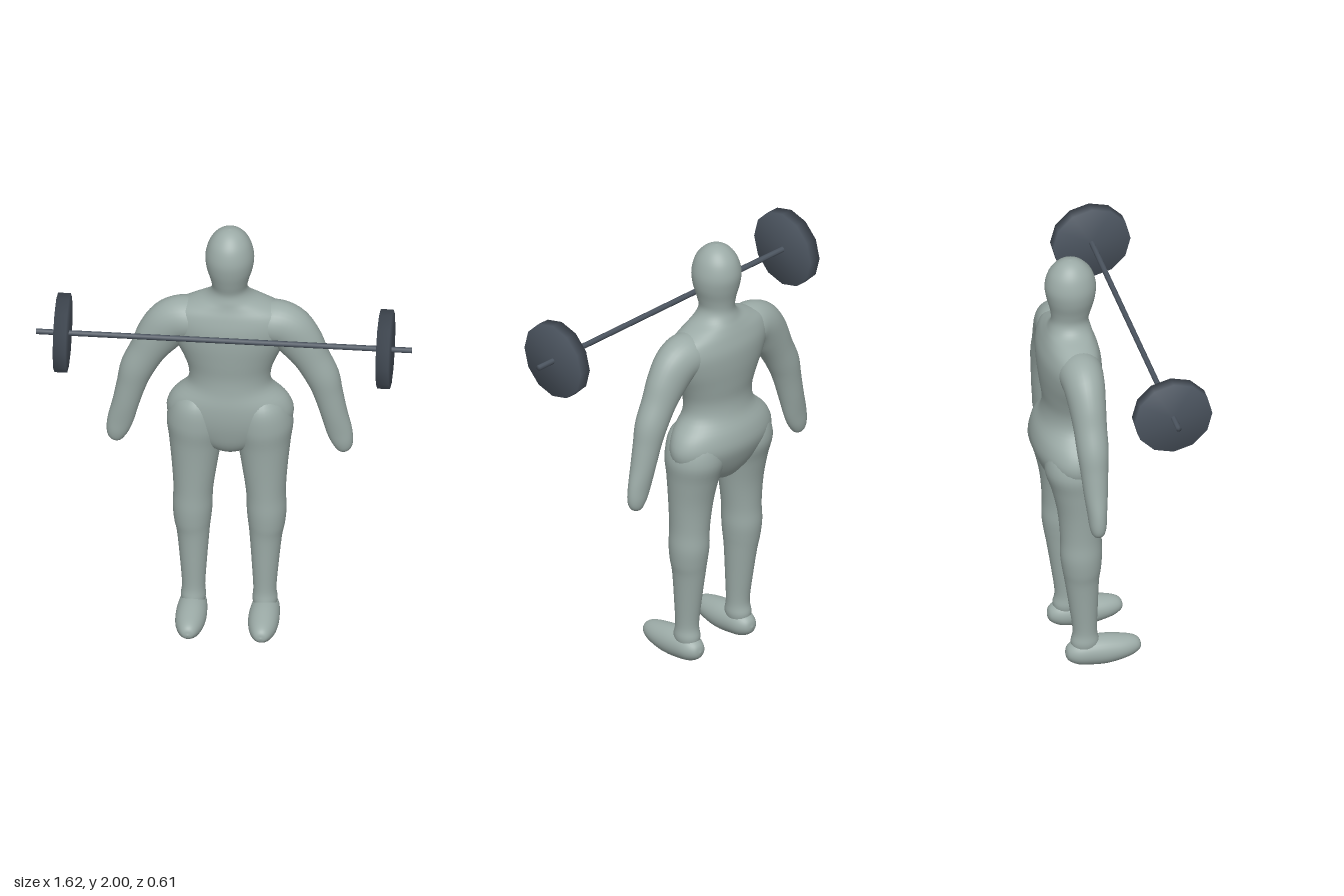
import * as THREE from 'three';
import { mergeVertices } from 'three/addons/utils/BufferGeometryUtils.js';

const X = new THREE.Vector3(1, 0, 0), Z = new THREE.Vector3(0, 0, 1);

// Smooth skin through elliptical sections [x, y, z, radius across, radius along the side axis].
function loft(rows, side, steps = 5, segments = 32) {
  const centres = new THREE.CatmullRomCurve3(rows.map(r => new THREE.Vector3(r[0], r[1], r[2])), false, 'catmullrom');
  const radii = new THREE.CatmullRomCurve3(rows.map(r => new THREE.Vector3(r[3], r[4], 0)), false, 'catmullrom');
  const rings = (rows.length - 1) * steps;
  const positions = [], index = [];
  for (let i = 0; i <= rings; i++) {
    const t = i / rings;
    const c = centres.getPoint(t), r = radii.getPoint(t);
    const across = centres.getTangent(t).cross(side).normalize();
    for (let j = 0; j < segments; j++) {
      const a = j / segments * Math.PI * 2;
      const p = c.clone()
        .addScaledVector(across, Math.cos(a) * Math.max(r.x, 0))
        .addScaledVector(side, Math.sin(a) * Math.max(r.y, 0));
      positions.push(p.x, p.y, p.z);
      if (i < rings) {
        const k = (j + 1) % segments, m = i * segments, n = m + segments;
        index.push(m + j, n + j, m + k, n + j, n + k, m + k);
      }
    }
  }
  const g = new THREE.BufferGeometry();
  g.setAttribute('position', new THREE.Float32BufferAttribute(positions, 3));
  g.setIndex(index);
  g.computeVertexNormals();
  return g;
}

// Cylinder along x whose normals are averaged over the rim.
function softCylinder(radius, length, sides) {
  let g = new THREE.CylinderGeometry(radius, radius, length, sides);
  g.deleteAttribute('normal');
  g.deleteAttribute('uv');
  g = mergeVertices(g);
  g.rotateZ(Math.PI / 2);
  g.computeVertexNormals();
  return g;
}

export function createModel() {
  const model = new THREE.Group();
  model.name = 'lifterWithBarbell';
  const skin = new THREE.MeshStandardMaterial({ name: 'greyGreen', color: 0x9caba7 });
  const steel = new THREE.MeshStandardMaterial({ name: 'darkSteel', color: 0x4c5560 });

  const body = new THREE.Group();
  body.name = 'body';
  const barbell = new THREE.Group();
  barbell.name = 'barbell';
  model.add(body, barbell);

  const add = (parent, name, geometry, material) => {
    const mesh = new THREE.Mesh(geometry, material);
    mesh.name = name;
    parent.add(mesh);
    return mesh;
  };

  // Trunk and head: height, half width, front z, back z
  const trunk = [
    [0.87, 0, -0.14, -0.14],
    [0.885, 0.07, -0.08, -0.21],
    [0.93, 0.16, -0.045, -0.25],
    [1.0, 0.25, -0.025, -0.285],
    [1.07, 0.275, -0.015, -0.305],
    [1.14, 0.25, -0.015, -0.295],
    [1.21, 0.185, -0.025, -0.265],
    [1.28, 0.178, -0.028, -0.255],
    [1.36, 0.205, -0.02, -0.265],
    [1.45, 0.25, -0.013, -0.275],
    [1.53, 0.275, -0.015, -0.275],
    [1.59, 0.255, -0.028, -0.26],
    [1.63, 0.175, -0.042, -0.245],
    [1.66, 0.105, -0.05, -0.232],
    [1.7, 0.077, -0.058, -0.22],
    [1.75, 0.083, -0.045, -0.225],
    [1.81, 0.1, -0.03, -0.24],
    [1.87, 0.105, -0.025, -0.248],
    [1.93, 0.09, -0.04, -0.234],
    [1.97, 0.064, -0.07, -0.205],
    [1.992, 0.033, -0.103, -0.172],
    [2.0, 0, -0.137, -0.137],
  ].map(([y, w, f, b]) => [0, y, (f + b) / 2, w, (f - b) / 2]);
  add(body, 'trunkAndHead', loft(trunk, Z, 4, 48), skin);

  // Limbs, given for the left side
  const arm = [
    [0.08, 1.535, -0.14, 0.06, 0.07],
    [0.17, 1.535, -0.14, 0.095, 0.095],
    [0.245, 1.51, -0.14, 0.105, 0.09],
    [0.305, 1.44, -0.14, 0.098, 0.08],
    [0.355, 1.355, -0.14, 0.08, 0.072],
    [0.4, 1.265, -0.14, 0.074, 0.068],
    [0.425, 1.18, -0.14, 0.064, 0.06],
    [0.45, 1.08, -0.14, 0.058, 0.052],
    [0.473, 0.99, -0.14, 0.056, 0.042],
    [0.488, 0.93, -0.14, 0.046, 0.036],
    [0.493, 0.893, -0.14, 0.028, 0.024],
    [0.495, 0.877, -0.14, 0, 0],
  ];
  const leg = [
    [0.14, 1.19, -0.14, 0.03, 0.06],
    [0.14, 1.12, -0.145, 0.1, 0.12],
    [0.143, 1.02, -0.15, 0.13, 0.135],
    [0.148, 0.92, -0.142, 0.115, 0.115],
    [0.152, 0.8, -0.133, 0.099, 0.098],
    [0.157, 0.67, -0.13, 0.086, 0.09],
    [0.16, 0.58, -0.13, 0.086, 0.091],
    [0.16, 0.51, -0.128, 0.08, 0.085],
    [0.157, 0.44, -0.126, 0.07, 0.075],
    [0.155, 0.3, -0.118, 0.058, 0.062],
    [0.154, 0.18, -0.112, 0.05, 0.053],
    [0.155, 0.12, -0.112, 0.054, 0.062],
    [0.156, 0.07, -0.112, 0.04, 0.05],
  ];
  const foot = [
    [0.157, 0.068, -0.2, 0, 0],
    [0.157, 0.068, -0.188, 0.032, 0.032],
    [0.157, 0.069, -0.15, 0.055, 0.055],
    [0.157, 0.07, -0.09, 0.065, 0.064],
    [0.157, 0.068, -0.02, 0.066, 0.067],
    [0.158, 0.069, 0.05, 0.055, 0.06],
    [0.158, 0.07, 0.1, 0.042, 0.045],
    [0.158, 0.068, 0.128, 0.023, 0.026],
    [0.158, 0.068, 0.137, 0, 0],
  ];
  for (const [label, s] of [['left', 1], ['right', -1]]) {
    const mirrored = rows => rows.map(([x, ...rest]) => [s * x, ...rest]);
    add(body, label + 'Arm', loft(mirrored(arm), Z), skin);
    add(body, label + 'Leg', loft(mirrored(leg), Z), skin);
    add(body, label + 'Foot', loft(mirrored(foot), X), skin);
    // Weight plate at each end of the bar
    add(barbell, label + 'Plate', softCylinder(0.172, 0.055, 12), steel).position.x = s * 0.698;
  }

  // Bar
  add(barbell, 'bar', softCylinder(0.0125, 1.625, 8), steel);
  barbell.position.set(0, 1.6, 0.135);
  return model;
}
